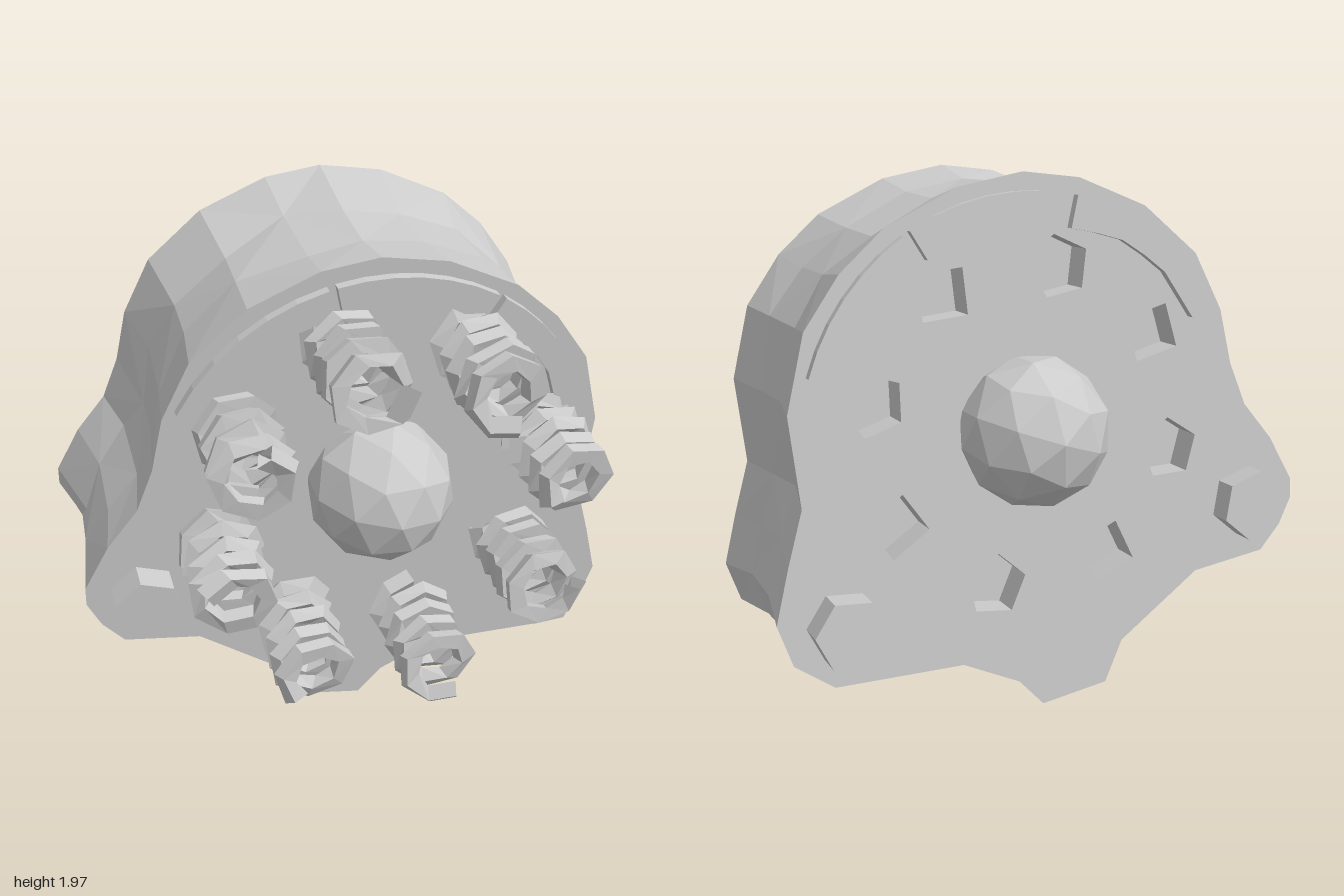
import * as THREE from 'three';

const CENTRE = [0.07, 1.067], FRONT = 0.325, BACK = -0.475;
const mat = new THREE.MeshStandardMaterial({ color: 0xcccccc, flatShading: true });
const matDouble = new THREE.MeshStandardMaterial({ color: 0xcccccc, flatShading: true, side: THREE.DoubleSide });

function add(parent, name, geometry, x = 0, y = 0, z = 0, material = mat) {
  const mesh = new THREE.Mesh(geometry, material);
  mesh.name = name;
  mesh.position.set(x, y, z);
  parent.add(mesh);
  return mesh;
}

// point on a circle round the hub
const polar = (angle, r, c = CENTRE) => [c[0] + r * Math.cos(angle), c[1] + r * Math.sin(angle)];

// small repeatable unevenness for the hand-cut look
const wobble = (n) => { const s = Math.sin(n * 127.1) * 43758.5; return s - Math.floor(s) - 0.5; };

// silhouette: dome on top, a lobe at each side, a foot at the bottom
const OUTLINE = [
  [0.04, 0.04], [0.13, 0.14], [0.34, 0.24], [0.81, 0.24], [0.95, 0.34], [1.0, 0.49], [0.95, 0.68],
  [0.89, 0.88], [0.92, 1.2], [0.85, 1.47], [0.72, 1.65], [0.56, 1.79], [0.3, 1.91], [0.06, 1.95],
  [-0.15, 1.92], [-0.4, 1.81], [-0.6, 1.63], [-0.7, 1.42], [-0.74, 1.22], [-0.8, 1.06], [-0.91, 0.92],
  [-1.0, 0.75], [-1.0, 0.68], [-0.95, 0.58], [-0.87, 0.49], [-0.59, 0.45], [-0.28, 0.23], [-0.21, 0.08],
];
const toShape = (pts) => new THREE.Shape(pts.map(([x, y]) => new THREE.Vector2(x, y)));

// side wall lofted through rings, narrower in the middle
function wallGeometry() {
  const rings = [[FRONT, 1], [0.08, 0.955], [-0.2, 0.945], [BACK, 1]];
  const n = OUTLINE.length, pos = [], index = [];
  rings.forEach(([z, s], r) => OUTLINE.forEach(([x, y], i) => {
    const inner = r === 1 || r === 2;
    const k = s + (inner ? wobble(i + r * 40) * 0.025 : 0);
    pos.push(CENTRE[0] + (x - CENTRE[0]) * k, CENTRE[1] + (y - CENTRE[1]) * k,
      z + (inner ? wobble(i + r * 90) * 0.12 : 0));
  }));
  for (let r = 0; r < rings.length - 1; r++) for (let i = 0; i < n; i++) {
    const j = (i + 1) % n, a = r * n + i, b = r * n + j, c = a + n, d = b + n;
    if ((i + r) % 2) index.push(a, c, b, b, c, d);
    else index.push(a, c, d, a, d, b);
  }
  const g = new THREE.BufferGeometry();
  g.setAttribute('position', new THREE.Float32BufferAttribute(pos, 3));
  g.setIndex(index);
  g.computeVertexNormals();
  return g;
}

// coil: a low-poly tube along a helix, flattened along its axis
function coilGeometry(phase) {
  const turns = 4.6, length = 0.41, squash = 0.62;
  const pts = [], steps = Math.round(turns * 7);
  for (let i = 0; i <= steps; i++) {
    const t = i / steps, a = phase + t * turns * Math.PI * 2;
    const r = 0.117 + wobble(i + phase * 10) * 0.016;
    pts.push(new THREE.Vector3(r * Math.cos(a), r * Math.sin(a), t * length / squash));
  }
  const path = new THREE.CurvePath();
  for (let i = 0; i < steps; i++) path.add(new THREE.LineCurve3(pts[i], pts[i + 1]));
  const g = new THREE.TubeGeometry(path, steps, 0.046, 4);
  g.scale(1, 1, squash);
  return g;
}

// raised arc strip near the rim of a face
function stripGeometry(from, to) {
  const pts = [], steps = 6;
  const angle = (i) => THREE.MathUtils.degToRad(from + (to - from) * i / steps);
  for (let i = 0; i <= steps; i++) pts.push(polar(angle(i), 0.82));
  for (let i = steps; i >= 0; i--) pts.push(polar(angle(i), 0.72 + wobble(i) * 0.03));
  return new THREE.ExtrudeGeometry(toShape(pts), { depth: 0.04, bevelEnabled: false });
}

export function createModel() {
  const root = new THREE.Group();
  root.name = 'model';
  const tilt = new THREE.Group();
  tilt.name = 'tiltedBody';
  tilt.position.y = 1;
  tilt.rotation.x = 0.09;
  root.add(tilt);
  const body = new THREE.Group();
  body.name = 'body';
  body.position.y = -1;
  tilt.add(body);

  add(body, 'sideWall', wallGeometry());
  add(body, 'frontFace', new THREE.ShapeGeometry(toShape(OUTLINE)), 0, 0, FRONT);

  // back face with eight pockets, and a coil opposite each on the front
  const backShape = toShape(OUTLINE);
  for (let i = 0; i < 8; i++) {
    const angle = THREE.MathUtils.degToRad(14 + i * 45);
    const [hx, hy] = polar(angle, 0.57);
    const sides = i % 2 ? 4 : 5, depth = 0.12;
    const rim = [];
    for (let k = 0; k < sides; k++) rim.push(polar(i * 0.7 + k / sides * Math.PI * 2, 0.115, [hx, hy]));
    backShape.holes.push(new THREE.Path(rim.map(([x, y]) => new THREE.Vector2(x, y))));
    add(body, 'pocket', new THREE.ExtrudeGeometry(toShape(rim), { depth, bevelEnabled: false }), 0, 0, BACK, matDouble);
    // the pocket's open end lies on the back face: keep only walls and floor
    const pocket = body.children[body.children.length - 1];
    const p = pocket.geometry.attributes.position;
    for (let v = 0; v < p.count; v += 3) {
      if ([0, 1, 2].every((k) => p.getZ(v + k) < 1e-6)) for (let k = 0; k < 3; k++) p.setZ(v + k, depth);
    }
    const [sx, sy] = polar(angle, 0.62);
    add(body, 'coil', coilGeometry(i * 1.3), sx, sy, FRONT + 0.01, matDouble);
  }
  add(body, 'backFace', new THREE.ShapeGeometry(backShape), 0, 0, BACK, matDouble);

  // domed hubs on both faces
  const ball = new THREE.IcosahedronGeometry(0.268, 1);
  add(body, 'frontHub', ball, ...CENTRE, 0.39).rotation.z = 0.4;
  add(body, 'backHub', ball, ...CENTRE, -0.53).rotation.z = 0.9;

  // rim strips on both faces
  for (const [from, to] of [[18, 58], [60, 102], [104, 152]]) {
    add(body, 'frontRimStrip', stripGeometry(from, to), 0, 0, FRONT - 0.005);
    add(body, 'backRimStrip', stripGeometry(from, to), 0, 0, BACK - 0.035);
  }

  // bolt through each side lobe
  for (const [x, y, spin, front, back] of [[-0.79, 0.695, 0.2, 0.43, -0.57], [0.77, 0.455, 0.6, 0.44, -0.59]]) {
    const bolt = new THREE.CylinderGeometry(0.125, 0.13, front - back, 6);
    bolt.rotateY(spin);
    bolt.rotateX(Math.PI / 2);
    add(body, 'lobeBolt', bolt, x, y, (front + back) / 2);
  }
  return root;
}
